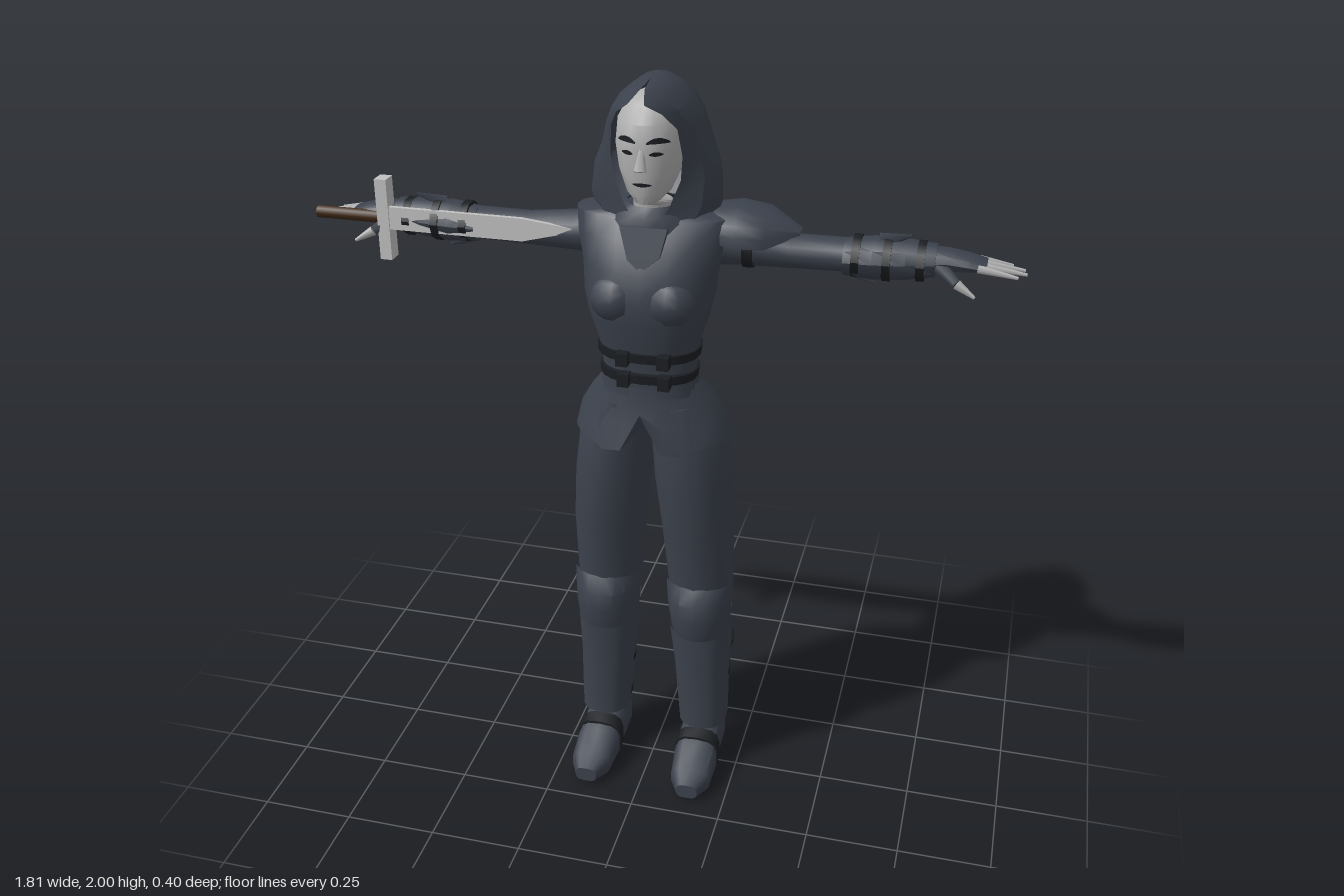
import * as THREE from 'three';
import { toCreasedNormals } from 'three/addons/utils/BufferGeometryUtils.js';

const flat = (name, color, side = THREE.DoubleSide) => {
  const m = new THREE.MeshStandardMaterial({ color, side });
  m.name = name;
  return m;
};

// Grid of points (rows of equal length) to a creased surface
function skin(rows, caps) {
  const w = rows[0].length, pos = rows.flat(2), index = [];
  for (let i = 0; i < rows.length - 1; i++) for (let j = 0; j < w - 1; j++) {
    const a = i * w + j, b = a + 1, c = a + w, d = c + 1;
    index.push(a, b, d, a, d, c);
  }
  if (caps) {
    const top = (rows.length - 1) * w;
    for (let j = 1; j < w - 2; j++) index.push(0, j + 1, j, top, top + j, top + j + 1);
  }
  const g = new THREE.BufferGeometry();
  g.setAttribute('position', new THREE.Float32BufferAttribute(pos, 3));
  g.setIndex(index);
  return toCreasedNormals(g, 0.65);
}

// Stacked oval rings [y, cx, cz, rx, rz]; p < 1 makes them boxier, from/to cut an arc
function loft(rings, { n = 16, p = 1, from = 0, to = Math.PI * 2, caps = true, rule } = {}) {
  const bend = v => Math.sign(v) * Math.abs(v) ** p;
  return skin(rings.map(([y, cx, cz, rx, rz], i) => Array.from({ length: n + 1 }, (_, j) => {
    const t = from + (to - from) * j / n;
    const v = [cx + rx * bend(Math.sin(t)), y, cz + rz * bend(Math.cos(t))];
    return rule ? rule(v, i) : v;
  })), caps);
}
// Same along x: rings [x, cy, cz, ry, rz]
const loftX = (rings, o) => loft(rings.map(([x, cy, ...r]) => [x, -cy, ...r]), o).rotateZ(-Math.PI / 2);
// Same along z: rings [z, cx, cy, rx, ry]
const loftZ = (rings, o) => loft(rings.map(([z, cx, cy, ...r]) => [z, cx, -cy, ...r]), o).rotateX(Math.PI / 2);

// Mirror over x = 0, keeping faces outward
function mirror(geo) {
  const g = (geo.index ? geo.toNonIndexed() : geo.clone()).scale(-1, 1, 1);
  for (const a of Object.values(g.attributes)) for (let i = 0; i < a.count; i += 3) for (let k = 0; k < a.itemSize; k++) {
    const v = a.getComponent(i, k);
    a.setComponent(i, k, a.getComponent(i + 2, k));
    a.setComponent(i + 2, k, v);
  }
  return g;
}

// Tapered rod between two points
function spike(a, b, r0, r1, n = 6) {
  const A = new THREE.Vector3(...a), B = new THREE.Vector3(...b), d = B.clone().sub(A);
  const g = new THREE.CylinderGeometry(r1, r0, d.length(), n);
  g.applyQuaternion(new THREE.Quaternion().setFromUnitVectors(new THREE.Vector3(0, 1, 0), d.normalize()));
  return g.translate(...A.add(B).multiplyScalar(0.5).toArray());
}
const box = (w, h, d, x, y, z) => new THREE.BoxGeometry(w, h, d).translate(x, y, z);

export function createModel() {
  const root = new THREE.Group();
  const cloth = flat('slate cloth', 0x3c424d), strap = flat('black strap', 0x1b1e22);
  const face = flat('grey skin', 0xb2b2b2), steel = flat('pale steel', 0xc2c2c2), wood = flat('brown grip', 0x3d2614);
  const add = (name, geo, mat) => {
    const m = new THREE.Mesh(geo, mat);
    m.name = name;
    root.add(m);
  };
  const both = (name, geo, mat) => { add(name + 'Left', geo, mat); add(name + 'Right', mirror(geo), mat); };

  // Head and neck
  const headRings = [[1.6, 0, -0.02, 0.05, 0.05], [1.7, 0, 0, 0.048, 0.05], [1.715, 0, 0.045, 0.03, 0.05],
    [1.74, 0, 0.035, 0.055, 0.068], [1.79, 0, 0.02, 0.076, 0.09], [1.85, 0, 0.015, 0.085, 0.1],
    [1.91, 0, 0.01, 0.08, 0.1], [1.95, 0, 0, 0.06, 0.08], [1.97, 0, 0, 0.02, 0.03]];
  add('head', loft(headRings, { n: 20 }), face);
  add('nose', spike([0, 1.855, 0.108], [0, 1.805, 0.128], 0.006, 0.017, 5), face);
  const faceZ = (x, y) => {
    const i = Math.max(1, headRings.findIndex(r => r[0] > y)), a = headRings[i - 1], b = headRings[i];
    const [, , cz, rx, rz] = a.map((v, k) => v + (b[k] - v) * (y - a[0]) / (b[0] - a[0]));
    return cz + rz * Math.sqrt(Math.max(0, 1 - (x / rx) ** 2));
  };
  // Painted features hugging the face
  const mark = (x, y, w, h, arch) => {
    const g = new THREE.PlaneGeometry(w, h, 6, 2), p = g.attributes.position;
    for (let i = 0; i < p.count; i++) {
      const u = p.getX(i) / w * 2, px = x + p.getX(i);
      const py = y + p.getY(i) * (1 - 0.75 * u * u) - arch * u * u;
      p.setXYZ(i, px, py, faceZ(px, py) + 0.004);
    }
    g.computeVertexNormals();
    return g;
  };
  both('eyebrow', mark(0.038, 1.876, 0.05, 0.014, 0.006), strap);
  both('eye', mark(0.035, 1.845, 0.03, 0.011, 0.001), strap);
  add('mouth', mark(0, 1.768, 0.046, 0.01, 0), strap);

  // Hood, open at the face: [y, opening half width, front z, half width, centre z, back z]
  const hood = [[1.665, 0.03, 0.07, 0.155, -0.03, -0.12], [1.7, 0.055, 0.062, 0.167, -0.035, -0.15],
    [1.77, 0.083, 0.06, 0.162, -0.05, -0.198], [1.83, 0.088, 0.065, 0.139, -0.055, -0.198],
    [1.9, 0.08, 0.085, 0.115, -0.05, -0.185], [1.945, 0.055, 0.13, 0.092, -0.04, -0.168],
    [1.972, 0.02, 0.16, 0.062, -0.03, -0.135], [1.992, 0.005, 0.1, 0.035, -0.025, -0.09], [2, 0, 0.03, 0, -0.02, -0.06]];
  add('hood', skin(hood.map(([y, w, zf, rx, cz, zb]) => {
    const half = [[w, zf], [w + (rx - w) * 0.65, cz + (zf - cz) * 0.7], [rx, cz], [rx * 0.86, cz + (zb - cz) * 0.55],
      [rx * 0.48, cz + (zb - cz) * 0.9], [0, zb]];
    const right = half.slice(0, 5).reverse().map(([x, z]) => [-x, z]);
    return [...half, ...right].map(([x, z]) => [x, y, z]).reverse().map(v => [-v[0], v[1], v[2]]).reverse().map(v => [-v[0], v[1], v[2]]);
  })), cloth);

  // Tunic
  add('tunic', loft([[1.21, 0, 0.025, 0.13, 0.082], [1.27, 0, 0.025, 0.12, 0.08], [1.35, 0, 0.03, 0.13, 0.095],
    [1.42, 0, 0.03, 0.153, 0.115], [1.48, 0, 0.022, 0.165, 0.13], [1.55, 0, 0.008, 0.172, 0.124],
    [1.62, 0, -0.015, 0.192, 0.112], [1.665, 0, -0.028, 0.2, 0.09], [1.685, 0, -0.025, 0.1, 0.072]],
  { n: 20, p: 0.85 }), cloth);
  both('bust', new THREE.SphereGeometry(0.07, 12, 8).scale(1, 0.95, 1).translate(0.068, 1.475, 0.09), cloth);
  add('collar', loft([[1.64, 0, -0.01, 0.13, 0.1], [1.675, 0, 0, 0.1, 0.085], [1.7, 0, 0.005, 0.065, 0.065]], { caps: false }), cloth);
  const tail = new THREE.Shape([[-0.06, 0], [0.06, 0], [0.045, -0.07], [0, -0.11], [-0.035, -0.08]].map(v => new THREE.Vector2(...v)));
  add('scarfTail', new THREE.ExtrudeGeometry(tail, { depth: 0.015, bevelEnabled: false })
    .rotateX(-0.28).translate(0, 1.655, 0.083), cloth);

  // Flared tunic skirt with a front slit
  add('skirt', loft([[1.075, 0, -0.015, 0.21, 0.155], [1.13, 0, -0.015, 0.197, 0.138], [1.19, 0, 0, 0.162, 0.108],
    [1.235, 0, 0.022, 0.128, 0.085]], { n: 24, caps: false, rule: ([x, y, z], i) => {
    if (i === 0 && z > 0) y += 0.1 * Math.max(0, 1 - Math.abs(x) / 0.055) - 0.025 * Math.max(0, 1 - Math.abs(Math.abs(x) - 0.09) / 0.06);
    return [x, y, z];
  } }), cloth);

  // Belts and buckles
  for (const [y, rx, rz] of [[1.325, 0.132, 0.1], [1.265, 0.126, 0.092]]) {
    add('belt', loft([[y - 0.012, 0, 0.028, rx, rz], [y + 0.012, 0, 0.028, rx + 0.002, rz + 0.002]], { n: 20, p: 0.85 }), strap);
    for (const x of [-0.045, 0.06]) add('beltBuckle', box(0.03, 0.034, 0.03, x, y, 0.03 + rz), strap);
  }

  // Trousers
  both('trouserLeg', loft([[0.46, 0.133, -0.035, 0.078, 0.09], [0.6, 0.13, -0.035, 0.09, 0.097], [0.8, 0.122, -0.018, 0.098, 0.118],
    [0.95, 0.109, -0.014, 0.103, 0.125], [1.06, 0.098, -0.015, 0.1, 0.128], [1.18, 0.07, 0, 0.08, 0.1]]), cloth);
  // Boots, shin guards and knee guards
  both('bootShaft', loft([[0.08, 0.143, -0.045, 0.056, 0.066], [0.16, 0.142, -0.04, 0.058, 0.07],
    [0.3, 0.14, -0.035, 0.068, 0.078], [0.4, 0.135, -0.037, 0.074, 0.088], [0.52, 0.132, -0.037, 0.084, 0.1]]), cloth);
  both('shinGuard', loft([[0.145, 0.145, -0.03, 0.067, 0.08], [0.2, 0.143, -0.03, 0.07, 0.08],
    [0.35, 0.137, -0.03, 0.076, 0.086], [0.47, 0.132, -0.03, 0.086, 0.095]],
  { n: 10, p: 0.8, from: -1.75, to: 1.75, caps: false }), cloth);
  both('kneeGuard', loft([[0.465, 0.135, -0.02, 0.078, 0.1], [0.53, 0.133, -0.02, 0.086, 0.116],
    [0.58, 0.131, -0.02, 0.09, 0.112], [0.625, 0.13, -0.02, 0.094, 0.085]],
  { n: 8, p: 0.9, from: -1.5, to: 1.5, caps: false }), cloth);
  both('foot', loftZ([[-0.118, 0.143, 0.055, 0.04, 0.05], [-0.08, 0.143, 0.073, 0.057, 0.073], [0, 0.143, 0.072, 0.059, 0.072],
    [0.08, 0.145, 0.054, 0.061, 0.054], [0.15, 0.147, 0.037, 0.056, 0.037], [0.2, 0.148, 0.034, 0.03, 0.022]], { n: 14, p: 0.65 }), cloth);
  both('instepStrap', loftZ([[0.03, 0.144, 0.066, 0.063, 0.066], [0.065, 0.145, 0.061, 0.064, 0.061]], { n: 14, p: 0.65 }), strap);
  for (const [y, r] of [[0.18, 0.066], [0.3, 0.075], [0.4, 0.082]]) {
    both('calfStrap', loft([[y - 0.012, 0.14, -0.042, r, r + 0.006], [y + 0.012, 0.14, -0.042, r + 0.002, r + 0.01]],
      { n: 12, from: Math.PI - 1.75, to: Math.PI + 1.75, caps: false }), strap);
    both('calfBuckle', box(0.022, 0.03, 0.03, 0.165, y, -0.04 - r), strap);
  }

  // Arms, bracers and hands
  both('sleeve', loftX([[0.13, 1.595, -0.035, 0.062, 0.062], [0.21, 1.59, -0.04, 0.052, 0.054], [0.34, 1.582, -0.046, 0.043, 0.046],
    [0.5, 1.585, -0.045, 0.042, 0.045]], { n: 12 }), cloth);
  both('bracer', loftX([[0.47, 1.582, -0.04, 0.045, 0.052], [0.54, 1.585, -0.04, 0.053, 0.057],
    [0.62, 1.588, -0.04, 0.05, 0.052], [0.69, 1.592, -0.04, 0.04, 0.044]], { n: 10 }), cloth);
  both('bracerFlap', spike([0.56, 1.63, -0.04], [0.63, 1.655, -0.02], 0.022, 0.003, 4), cloth);
  both('bracerLowerFlap', spike([0.5, 1.545, -0.04], [0.55, 1.522, -0.03], 0.02, 0.003, 4), cloth);
  for (const x of [0.5, 0.575, 0.655]) {
    const r = 0.057 - Math.abs(x - 0.56) * 0.08;
    both('bracerStrap', loftX([[x - 0.01, 1.587, -0.04, r, r + 0.004], [x + 0.01, 1.587, -0.04, r, r + 0.004]], { n: 10 }), strap);
  }
  both('glove', loftX([[0.66, 1.592, -0.04, 0.036, 0.038], [0.72, 1.596, -0.042, 0.028, 0.04], [0.77, 1.592, -0.045, 0.022, 0.043],
    [0.81, 1.588, -0.045, 0.013, 0.04]], { n: 10 }), cloth);
  [0.885, 0.905, 0.9, 0.87].forEach((tip, i) => {
    const z = -0.012 - i * 0.022, spread = (1.5 - i) * 0.006;
    both('finger', spike([0.79, 1.59, z], [tip, 1.578, z + spread], 0.011, 0.004), face);
  });
  both('thumbBase', spike([0.7, 1.585, -0.02], [0.745, 1.555, 0.012], 0.02, 0.013), cloth);
  both('thumb', spike([0.745, 1.555, 0.012], [0.79, 1.53, 0.026], 0.013, 0.004), face);

  // Pauldron on the left shoulder
  add('pauldron', loftX([[0.13, 1.62, -0.055, 0.062, 0.085], [0.21, 1.615, -0.06, 0.078, 0.105], [0.28, 1.61, -0.06, 0.075, 0.085],
    [0.36, 1.625, -0.06, 0.012, 0.02]], { n: 10, from: -Math.PI / 2 - 1.7, to: -Math.PI / 2 + 1.7, caps: false }), cloth);
  add('pauldronStrap', loftX([[0.225, 1.59, -0.04, 0.057, 0.06], [0.25, 1.588, -0.042, 0.055, 0.058]], { n: 12 }), strap);

  // Sword held in the right hand, blade lying along the forearm
  add('swordGrip', spike([-0.905, 1.587, -0.01], [-0.7, 1.587, -0.01], 0.017, 0.017, 8), wood);
  add('swordGuard', box(0.032, 0.215, 0.042, -0.714, 1.587, -0.007), steel);
  const blade = new THREE.Shape([[-0.7, -0.03], [-0.34, -0.03], [-0.18, 0.012], [-0.34, 0.03], [-0.7, 0.03]].map(v => new THREE.Vector2(...v)));
  add('swordBlade', new THREE.ExtrudeGeometry(blade, { depth: 0.012, bevelEnabled: false }).translate(0, 1.592, -0.002), steel);

  return root;
}
